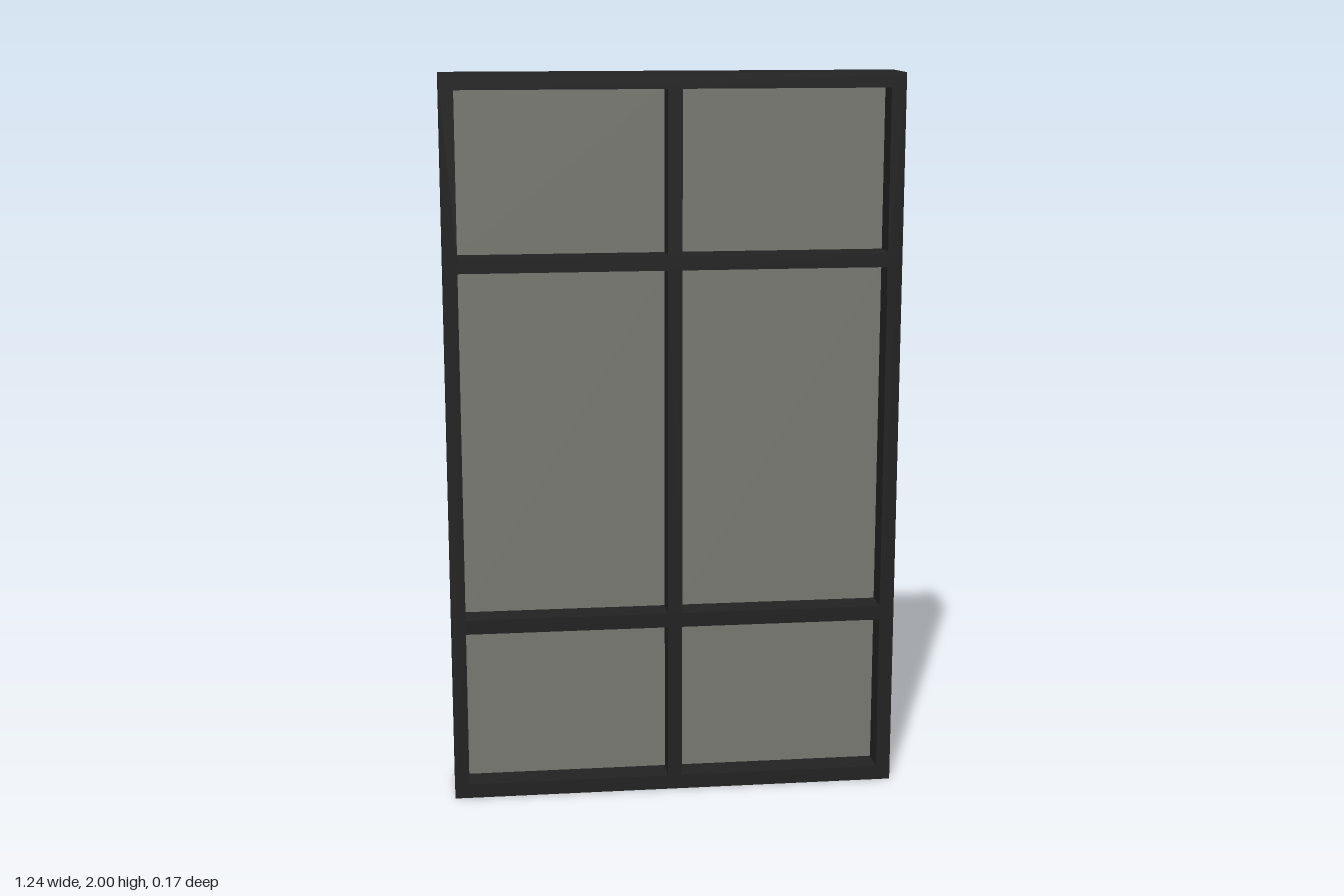
import * as THREE from 'three';

const W = 1.24, H = 2, D = 0.166, BAR = 0.04;

export function createModel() {
  const model = new THREE.Group();
  model.name = 'window';

  const frameMaterial = new THREE.MeshStandardMaterial({ color: 0x222222 });
  frameMaterial.name = 'black frame';
  const glassMaterial = new THREE.MeshStandardMaterial({ color: 0x797972 });
  glassMaterial.name = 'grey glass';

  // One frame with six openings, so all bars meet flush
  const outline = new THREE.Shape();
  const rect = (path, x0, y0, x1, y1) =>
    path.moveTo(x0, y0).lineTo(x1, y0).lineTo(x1, y1).lineTo(x0, y1).closePath();
  rect(outline, -W / 2, 0, W / 2, H);

  const columns = [[-W / 2 + BAR, -BAR / 2], [BAR / 2, W / 2 - BAR]];
  const rows = [[BAR, 0.48], [0.52, 1.48], [1.52, H - BAR]];
  const panes = new THREE.Group();
  panes.name = 'panes';

  for (const [x0, x1] of columns) {
    for (const [y0, y1] of rows) {
      const hole = new THREE.Path();
      rect(hole, x0, y0, x1, y1);
      outline.holes.push(hole);

      // Thin pane at mid depth of each opening
      const pane = new THREE.Mesh(new THREE.BoxGeometry(x1 - x0, y1 - y0, 0.008), glassMaterial);
      pane.name = 'pane';
      pane.position.set((x0 + x1) / 2, (y0 + y1) / 2, 0);
      panes.add(pane);
    }
  }

  const frameGeometry = new THREE.ExtrudeGeometry(outline, { depth: D, bevelEnabled: false });
  frameGeometry.translate(0, 0, -D / 2);
  const frame = new THREE.Mesh(frameGeometry, frameMaterial);
  frame.name = 'frame';

  model.add(frame, panes);
  return model;
}
